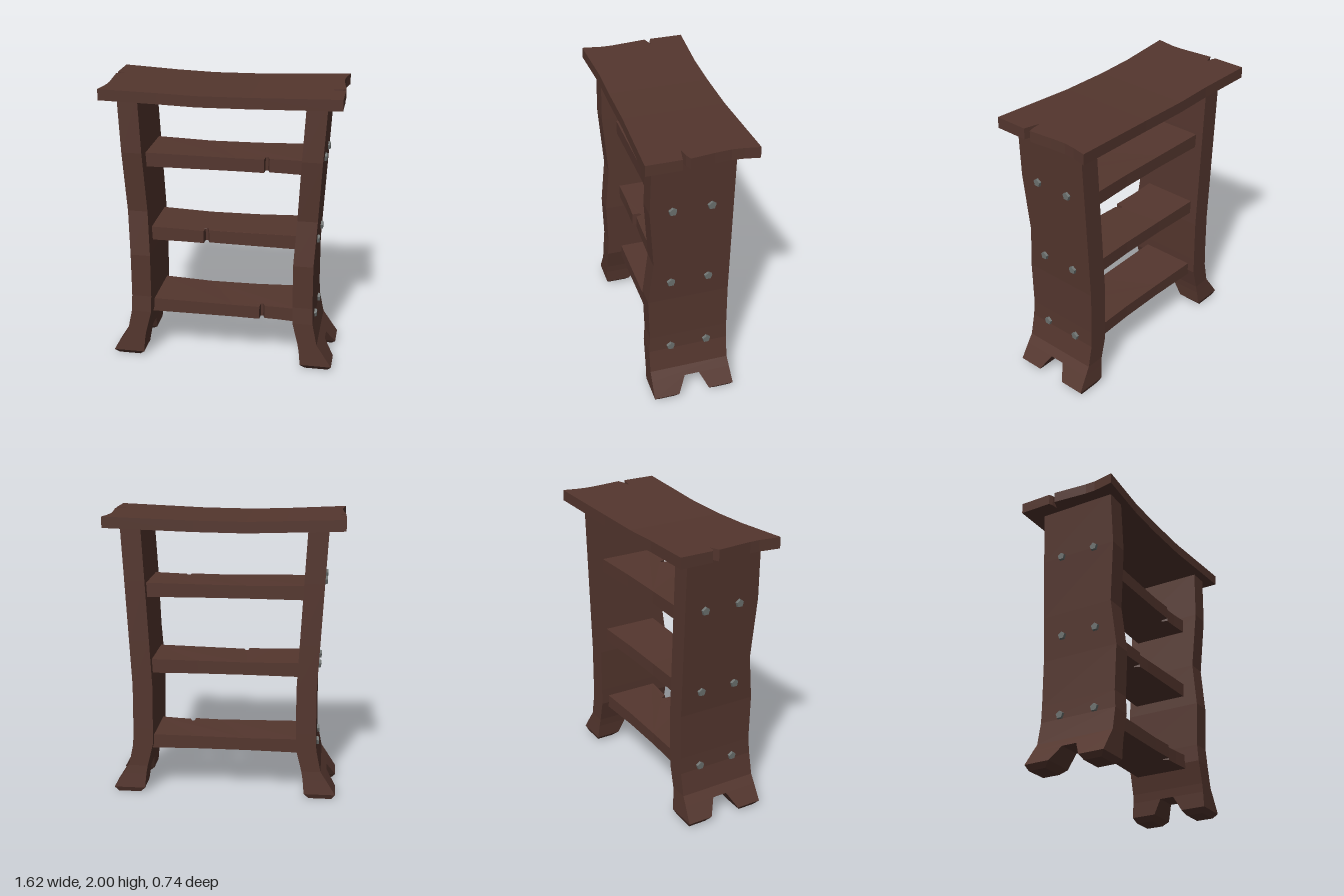
import * as THREE from 'three';

const wood = new THREE.MeshStandardMaterial({ color: 0x54362e });
wood.name = 'dark wood';
const iron = new THREE.MeshStandardMaterial({ color: 0x6b706e });
iron.name = 'grey iron';

function flat(geometry) {
  const g = geometry.index ? geometry.toNonIndexed() : geometry;
  g.computeVertexNormals();
  return g;
}

function addMesh(parent, name, geometry, material) {
  const mesh = new THREE.Mesh(flat(geometry), material);
  mesh.name = name;
  parent.add(mesh);
  return mesh;
}

// piecewise linear lookup in [[key, value], ...] with rising keys
function lerpTable(table, k) {
  for (let i = 1; i < table.length; i++) {
    const [k0, v0] = table[i - 1], [k1, v1] = table[i];
    if (k <= k1) return v0 + (v1 - v0) * (k - k0) / (k1 - k0);
  }
  return table[table.length - 1][1];
}

// horizontal plank from an x/z outline, top at y; sagging top and (optionally) bottom
function plank(outline, y, thickness, sag, sagBottom) {
  const shape = new THREE.Shape(outline.map(([x, z]) => new THREE.Vector2(x, z)));
  const g = new THREE.ExtrudeGeometry(shape, { depth: thickness, bevelEnabled: false });
  g.rotateX(Math.PI / 2);
  const p = g.attributes.position;
  for (let i = 0; i < p.count; i++) {
    const isTop = p.getY(i) > -thickness / 2;
    const drop = isTop || sagBottom ? lerpTable(sag, p.getX(i)) : 0;
    p.setY(i, p.getY(i) + y + drop);
  }
  return g;
}

// upright block through rows of [y, innerX, outerX, frontZ, backZ], rising in y
function loft(rows, side) {
  const pos = [], index = [];
  for (const [y, a, b, zf, zb] of rows) {
    const x0 = Math.min(a * side, b * side) + 0.005;
    const x1 = Math.max(a * side, b * side) + 0.005;
    pos.push(x0, y, zf, x1, y, zf, x1, y, zb, x0, y, zb);
  }
  for (let r = 0; r < rows.length - 1; r++) {
    for (let c = 0; c < 4; c++) {
      const a = r * 4 + c, b = r * 4 + (c + 1) % 4;
      index.push(a, b, b + 4, a, b + 4, a + 4);
    }
  }
  const t = (rows.length - 1) * 4;
  index.push(0, 3, 2, 0, 2, 1, t, t + 1, t + 2, t, t + 2, t + 3);
  const g = new THREE.BufferGeometry();
  g.setAttribute('position', new THREE.Float32BufferAttribute(pos, 3));
  g.setIndex(index);
  return g;
}

const panelRows = [
  [0.14, 0.56, 0.725, 0.31, -0.26],
  [0.2, 0.55, 0.685, 0.31, -0.255],
  [0.36, 0.51, 0.652, 0.308, -0.255],
  [0.48, 0.507, 0.647, 0.3, -0.255],
  [0.8, 0.505, 0.645, 0.31, -0.255],
  [1.12, 0.522, 0.662, 0.275, -0.255],
  [1.55, 0.545, 0.685, 0.305, -0.255],
  [1.95, 0.567, 0.707, 0.295, -0.255],
];
const frontFoot = [
  [0, 0.605, 0.765, 0.28, 0.155],
  [0.035, 0.57, 0.792, 0.31, 0.13],
  [0.14, 0.56, 0.725, 0.31, 0.07],
];
const backFoot = [
  [0, 0.605, 0.765, -0.13, -0.255],
  [0.035, 0.57, 0.792, -0.09, -0.27],
  [0.14, 0.56, 0.725, -0.035, -0.26],
];

export function createModel() {
  const model = new THREE.Group();
  model.name = 'shelfStand';

  // sagging top board, split where it bends so every piece stays planar
  const top = new THREE.Group();
  top.name = 'topBoard';
  model.add(top);
  const topSag = [[-0.81, 0], [-0.42, -0.016], [-0.15, -0.025], [0.2, -0.021], [0.81, 0]];
  const pieces = [
    [[-0.81, -0.37], [-0.42, -0.35], [-0.42, 0.34], [-0.81, 0.365], [-0.788, 0.22],
      [-0.788, 0.15], [-0.81, -0.095], [-0.74, -0.12], [-0.785, -0.127], [-0.81, -0.14]],
    [[-0.42, -0.35], [-0.15, -0.35], [-0.15, 0.34], [-0.42, 0.34]],
    [[-0.15, -0.35], [0.2, -0.35], [0.2, 0.34], [-0.15, 0.34]],
    [[0.2, -0.35], [0.81, -0.37], [0.79, -0.27], [0.782, -0.19], [0.79, -0.08], [0.81, 0.08],
      [0.765, 0.095], [0.695, 0.107], [0.81, 0.13], [0.81, 0.365], [0.2, 0.34]],
  ];
  pieces.forEach((o, i) => addMesh(top, 'topBoardSection' + (i + 1), plank(o, 2, 0.076, topSag, true), wood));

  // shelves, each with a split in the front edge
  const shelves = [
    { y: 1.525, end: 0.58, split: 0.3 },
    { y: 0.98, end: 0.56, split: -0.12 },
    { y: 0.42, end: 0.55, split: 0.28 },
  ];
  shelves.forEach(({ y, end, split }, i) => {
    const outline = [
      [-end, -0.2], [-0.15, -0.185], [0.2, -0.185], [end, -0.2],
      [end, 0.2], [split + 0.12, 0.185], [split + 0.02, 0.18], [split + 0.005, 0.14],
      [split - 0.012, 0.145], [split - 0.016, 0.2], [split - 0.2, 0.195], [-end, 0.2],
    ];
    const sag = [[-end, 0], [-0.15, -0.01], [0.2, -0.007], [end, 0]];
    addMesh(model, 'shelf' + (i + 1), plank(outline, y, 0.1, sag, false), wood);
  });

  // side panels with flared feet and five-sided bolt heads
  for (const side of [1, -1]) {
    const panel = new THREE.Group();
    panel.name = side > 0 ? 'leftSide' : 'rightSide';
    model.add(panel);
    addMesh(panel, 'sidePanel', loft(panelRows, side), wood);
    addMesh(panel, 'frontFoot', loft(frontFoot, side), wood);
    addMesh(panel, 'backFoot', loft(backFoot, side), wood);
    const outer = panelRows.map((r) => [r[0], r[2]]);
    for (const y of [1.55, 0.955, 0.385]) {
      for (const z of [0.155, -0.105]) {
        const g = new THREE.CylinderGeometry(0.027, 0.036, 0.04, 5);
        g.rotateZ(-side * Math.PI / 2);
        if (side > 0) g.rotateX(Math.PI / 2);
        else g.rotateX(-Math.PI / 2);
        // point one corner of the pentagon upwards
        const p = g.attributes.position;
        let best = 0;
        for (let i = 0; i < p.count; i++) if (p.getY(i) > p.getY(best)) best = i;
        g.rotateX(Math.atan2(-p.getZ(best), p.getY(best)));
        const bolt = addMesh(panel, 'bolt', g, iron);
        bolt.position.set(side * (lerpTable(outer, y) - 0.003) + 0.005, y, z);
      }
    }
  }
  return model;
}
